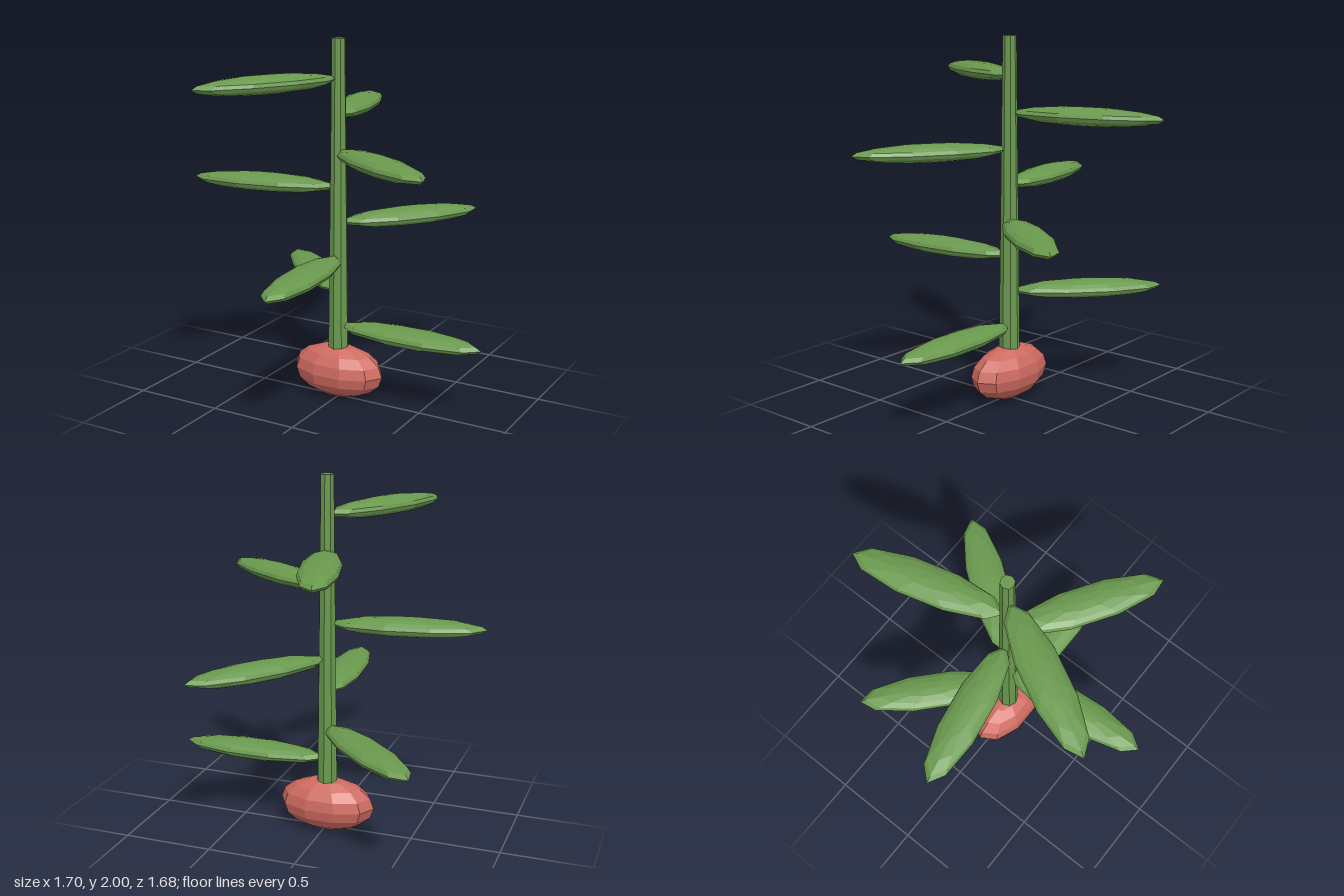
import * as THREE from 'three';

export function createModel() {
  const green = new THREE.MeshStandardMaterial({ color: 0x6a994e, flatShading: true });
  green.name = 'leaf green';
  const red = new THREE.MeshStandardMaterial({ color: 0xcd6a60, flatShading: true });
  red.name = 'root red';

  const plant = new THREE.Group();
  plant.name = 'plant';
  plant.position.set(-0.01, 0, -0.013);

  // Faceted ellipsoid shared by the root and the leaves
  const ellipsoid = (rx, ry, rz) => new THREE.SphereGeometry(1, 10, 8).scale(rx, ry, rz);

  // Swollen root lying along x
  const root = new THREE.Mesh(ellipsoid(0.275, 0.15, 0.15), red);
  root.name = 'root';
  root.position.y = 0.15;
  plant.add(root);

  // Tapered stem, its foot sunk into the root
  const bottom = 0.2;
  const stem = new THREE.Mesh(new THREE.CylinderGeometry(0.037, 0.059, 2 - bottom, 8), green);
  stem.name = 'stem';
  stem.position.y = (2 + bottom) / 2;
  plant.add(stem);

  // Eight leaves spiralling upward by the golden angle
  const leafShape = ellipsoid(0.42, 0.05, 0.109).translate(0.437, 0, 0);
  for (let i = 0; i < 8; i++) {
    const leaf = new THREE.Mesh(leafShape, green);
    leaf.name = `leaf${i + 1}`;
    leaf.position.y = 0.416 + i * 0.196;
    leaf.rotation.y = THREE.MathUtils.degToRad(137.5 * i);
    plant.add(leaf);
  }

  const model = new THREE.Group();
  model.add(plant);
  return model;
}
